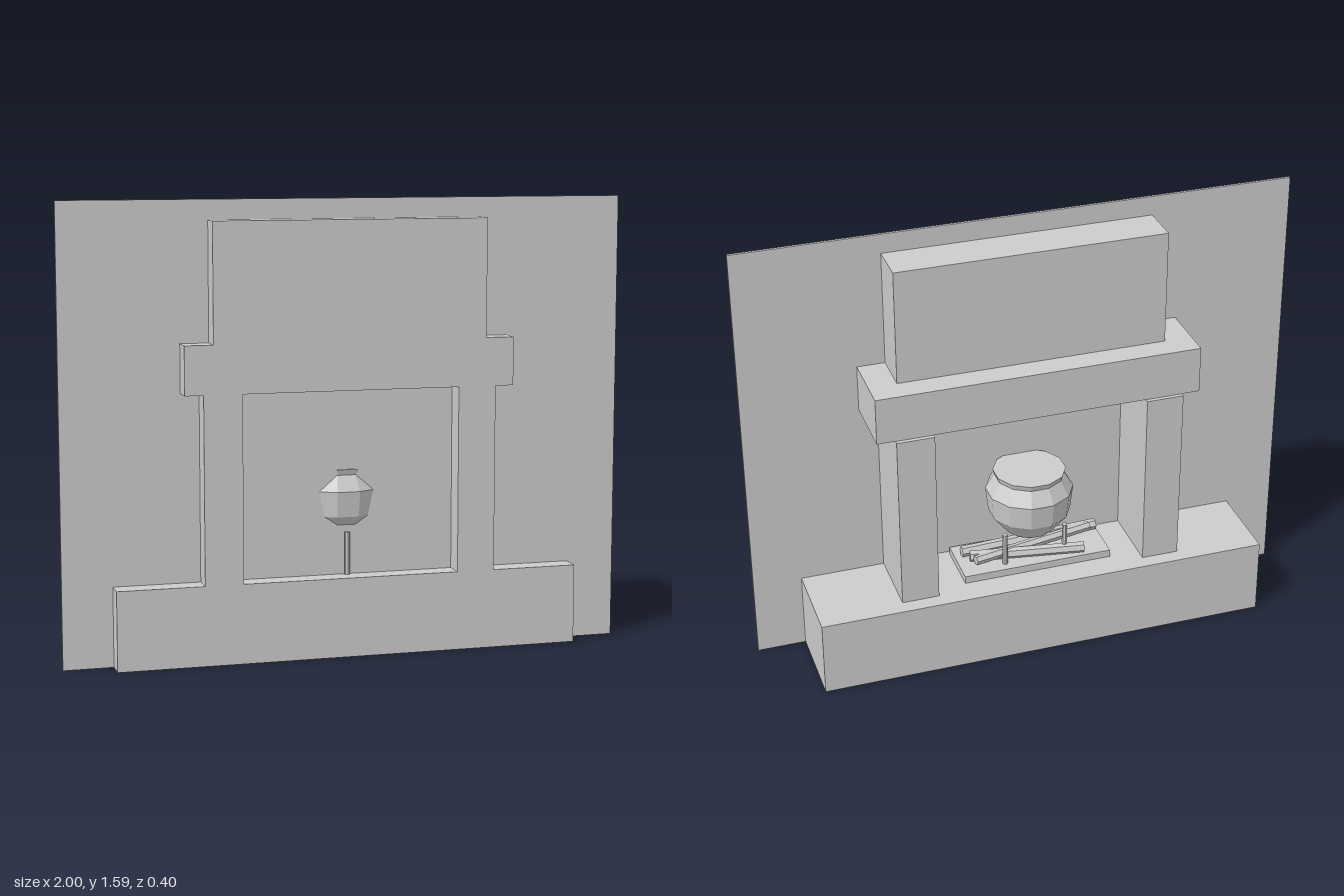
import * as THREE from 'three';

export function createModel() {
  const model = new THREE.Group();
  model.name = 'fireplace';
  const grey = new THREE.MeshStandardMaterial({ color: 0xcccccc });
  grey.name = 'plain grey';
  grey.flatShading = true;

  const add = (name, geometry, parent = model) => {
    const mesh = new THREE.Mesh(geometry, grey);
    mesh.name = name;
    parent.add(mesh);
    return mesh;
  };
  // Box given by its limits on each axis
  const block = (name, x0, x1, y0, y1, z0, z1) => {
    const mesh = add(name, new THREE.BoxGeometry(x1 - x0, y1 - y0, z1 - z0));
    mesh.position.set((x0 + x1) / 2, (y0 + y1) / 2, (z0 + z1) / 2);
    return mesh;
  };
  // Straight rod between two points
  const rod = (name, a, b, radius, sides, parent) => {
    const start = new THREE.Vector3(...a);
    const end = new THREE.Vector3(...b);
    const dir = end.clone().sub(start);
    const mesh = add(name, new THREE.CylinderGeometry(radius, radius, dir.length(), sides), parent);
    mesh.position.copy(start).add(end).multiplyScalar(0.5);
    mesh.quaternion.setFromUnitVectors(new THREE.Vector3(0, 1, 0), dir.normalize());
    return mesh;
  };

  // Masonry passing through the thin wall
  block('wall', -1, 1, 0, 1.59, 0.115, 0.125);
  block('base', -0.825, 0.825, 0, 0.28, -0.2, 0.2);
  block('leftPillar', 0.385, 0.52, 0.28, 0.935, -0.145, 0.2);
  block('rightPillar', -0.52, -0.385, 0.28, 0.935, -0.145, 0.2);
  block('lintel', -0.585, 0.585, 0.935, 1.105, -0.13, 0.2);
  block('chimney', -0.485, 0.485, 1.105, 1.52, -0.04, 0.2);

  // Hearth slab with crossed logs
  block('hearthSlab', -0.275, 0.275, 0.28, 0.308, -0.1, 0.1);
  const logs = new THREE.Group();
  logs.name = 'logs';
  model.add(logs);
  rod('rearLog', [0.25, 0.328, 0.03], [-0.27, 0.328, 0.055], 0.02, 6, logs);
  rod('slantedLog', [0.23, 0.33, -0.01], [-0.18, 0.33, -0.08], 0.02, 6, logs);
  rod('crossLog', [0.22, 0.335, -0.05], [-0.24, 0.335, 0.04], 0.018, 6, logs);

  // Faceted cooking pot, closed at the top
  const profile = [
    [0, 0.41], [0.09, 0.41], [0.148, 0.485], [0.158, 0.575],
    [0.125, 0.63], [0.131, 0.65], [0, 0.65],
  ].map(([r, y]) => new THREE.Vector2(r, y));
  const pot = add('pot', new THREE.LatheGeometry(profile, 12, Math.PI / 12));
  pot.position.z = 0.005;

  // Three legs under the pot
  const legs = new THREE.Group();
  legs.name = 'potLegs';
  model.add(legs);
  for (let i = 0; i < 3; i++) {
    const a = (i * Math.PI * 2) / 3;
    const x = 0.13 * Math.sin(a);
    const z = 0.005 + 0.13 * Math.cos(a);
    rod('potLeg', [x, 0.28, z], [x, 0.43, z], 0.01, 8, legs);
  }
  return model;
}
